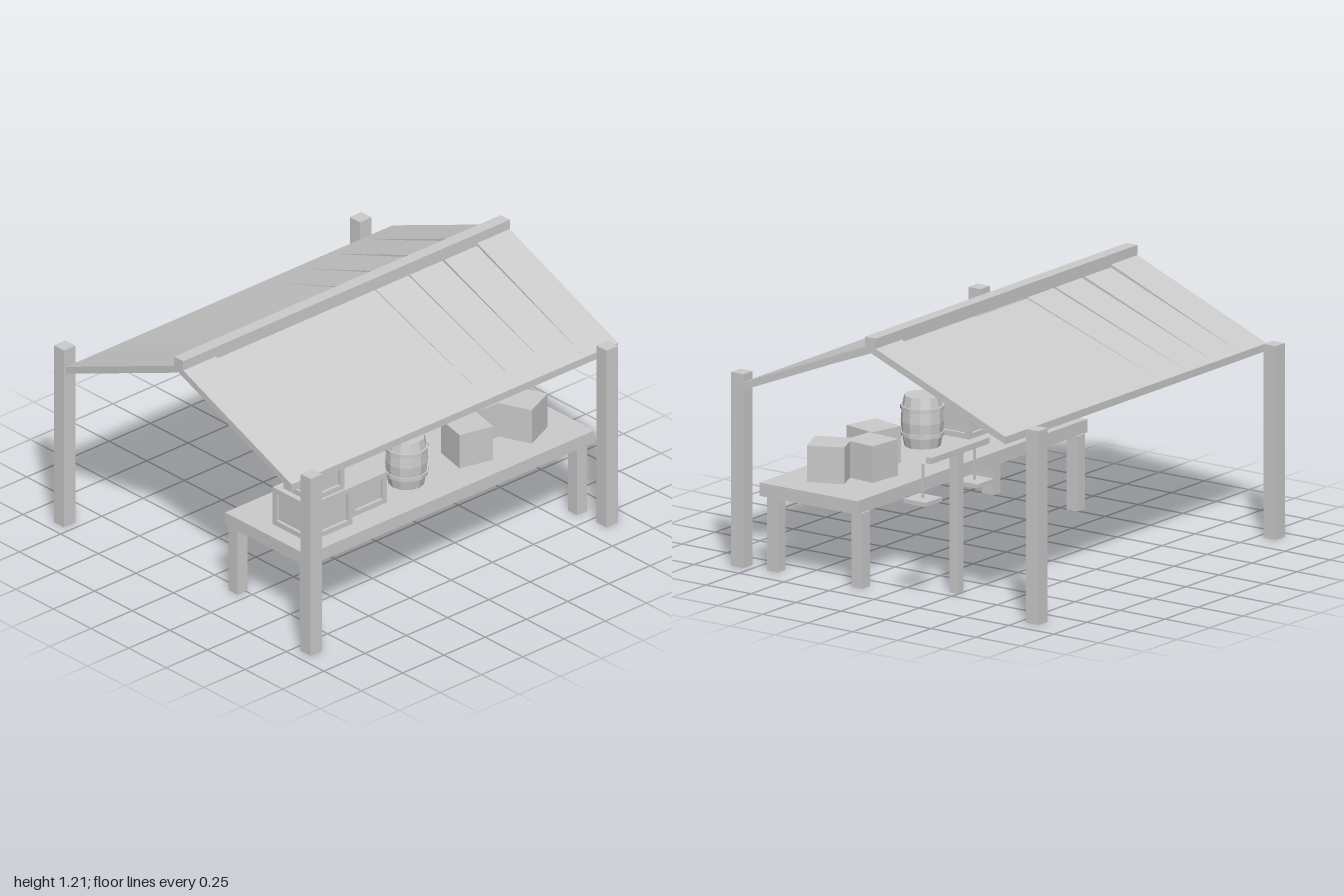
import * as THREE from 'three';

const grey = new THREE.MeshStandardMaterial({ color: 0xcccccc, flatShading: true });

export function createModel() {
  const root = new THREE.Group();
  root.name = 'marketStall';

  function add(name, geometry, parent = root) {
    const mesh = new THREE.Mesh(geometry, grey);
    mesh.name = name;
    parent.add(mesh);
    return mesh;
  }
  // Box given by its limits on each axis
  function block(name, x0, x1, y0, y1, z0, z1, parent = root) {
    const mesh = add(name, new THREE.BoxGeometry(x1 - x0, y1 - y0, z1 - z0), parent);
    mesh.position.set((x0 + x1) / 2, (y0 + y1) / 2, (z0 + z1) / 2);
    return mesh;
  }

  // Corner posts
  for (const x of [-0.912, 0.883])
    for (const z of [-0.82, 0.82])
      block('cornerPost', x - 0.035, x + 0.035, 0, 0.9, z - 0.034, z + 0.034);

  // Roof: chevron strips that sag towards the middle, under a straight ridge beam
  const ridgeZ = 0.035, eave = 0.75, step = 0.198;
  const ridgeTops = [1.17, 1.155, 1.141, 1.131, 1.125];
  for (let i = 0; i < 10; i++) {
    const top = ridgeTops[Math.min(i, 9 - i)];
    const chevron = new THREE.Shape([
      [-eave, 0.83], [0, top - 0.035], [eave, 0.83],
      [eave, 0.865], [0, top], [-eave, 0.865],
    ].map(([u, v]) => new THREE.Vector2(u, v)));
    const strip = add('roofStrip', new THREE.ExtrudeGeometry(chevron, { depth: step, bevelEnabled: false }));
    strip.rotation.y = Math.PI / 2;
    strip.position.set(-1 + i * step, 0, ridgeZ);
  }
  block('ridgeBeam', -1, 0.98, 1.145, 1.205, 0.005, 0.065);

  // Table
  block('tableTop', -0.83, 0.912, 0.348, 0.41, 0.157, 0.7);
  for (const x of [-0.77, 0.858])
    for (const z of [0.178, 0.648])
      block('tableLeg', x - 0.03, x + 0.03, 0, 0.35, z - 0.03, z + 0.03);

  // Crates: recessed sides between corner posts and end slabs
  function crate(x, y, z, w, h, d) {
    const g = new THREE.Group();
    g.name = 'crate';
    g.position.set(x, y, z);
    root.add(g);
    const t = 0.025, inset = 0.015, a = w / 2, b = d / 2;
    block('crateCore', -a + inset, a - inset, t, h - t, -b + inset, b - inset, g);
    block('crateBase', -a, a, 0, t, -b, b, g);
    block('crateLid', -a, a, h - t, h, -b, b, g);
    for (const sx of [-1, 1])
      for (const sz of [-1, 1]) {
        const post = add('crateCorner', new THREE.BoxGeometry(t, h - 2 * t, t), g);
        post.position.set(sx * (a - t / 2), h / 2, sz * (b - t / 2));
      }
  }
  crate(-0.613, 0.41, 0.5, 0.265, 0.188, 0.24);
  crate(-0.617, 0.598, 0.515, 0.2, 0.14, 0.185);
  crate(-0.338, 0.41, 0.475, 0.215, 0.155, 0.2);

  // Barrel with two hoops
  const barrel = new THREE.Group();
  barrel.name = 'barrel';
  barrel.position.set(-0.034, 0.41, 0.49);
  root.add(barrel);
  const lathe = (points) => new THREE.LatheGeometry(points.map(([r, y]) => new THREE.Vector2(r, y)), 12);
  add('barrelBody', lathe([[0, 0], [0.082, 0], [0.093, 0.055], [0.098, 0.117], [0.093, 0.18], [0.082, 0.235], [0, 0.235]]), barrel);
  for (const y of [0.05, 0.17])
    add('barrelHoop', lathe([[0.085, y], [0.1, y], [0.1, y + 0.018], [0.085, y + 0.018]]), barrel);

  // Loose cubes on the right of the table: x, z, turn
  for (const [x, z, turn] of [[0.328, 0.495, -0.23], [0.525, 0.365, -0.09], [0.667, 0.49, 0.41]]) {
    const cube = add('box', new THREE.BoxGeometry(0.172, 0.17, 0.172));
    cube.position.set(x, 0.495, z);
    cube.rotation.y = turn;
  }

  // Weighing scale behind the table
  block('scalePost', 0.655, 0.701, 0, 0.665, -0.245, -0.2);
  block('scaleBeam', 0.46, 0.9, 0.645, 0.673, -0.246, -0.215);
  for (const x of [0.545, 0.935]) {
    block('scaleRod', x - 0.005, x + 0.005, 0.49, 0.652, -0.23, -0.22);
    block('scalePan', x - 0.062, x + 0.062, 0.473, 0.493, -0.286, -0.162);
  }
  return root;
}
